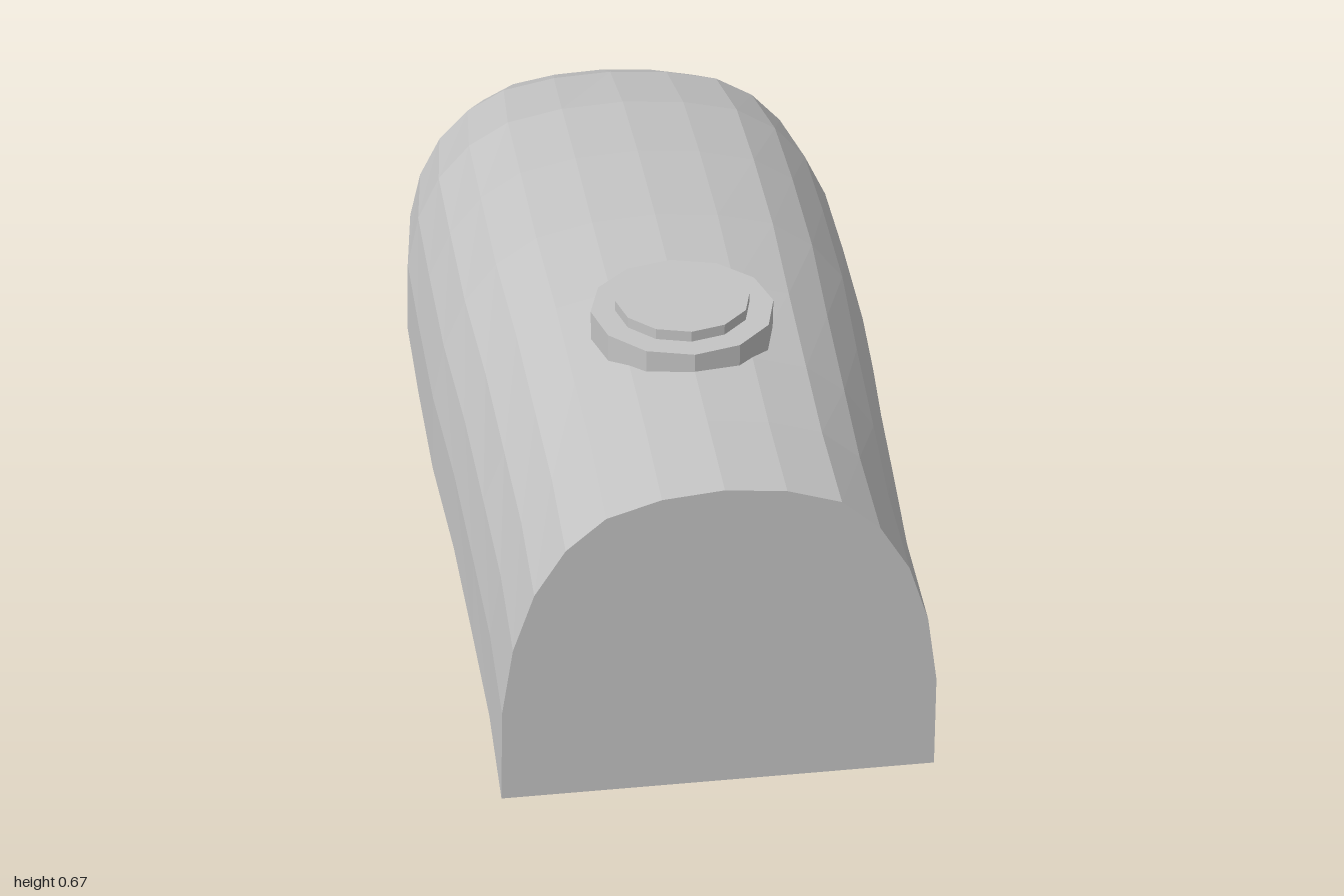
import * as THREE from 'three';

const grey = new THREE.MeshStandardMaterial({ color: 0xc4c4c4, flatShading: true });
grey.name = 'plain grey';

// Half arch from the lower edge to the crown: [share of half width, share of height]
const arch = [[1, 0], [0.983, 0.305], [0.925, 0.52], [0.825, 0.7], [0.685, 0.84], [0.51, 0.935], [0.27, 0.983], [0, 1]];
const section = [...arch, ...arch.slice(0, -1).reverse().map(([x, y]) => [-x, y])];

// Body stations: [z, half width, underside y, crown y]
const stations = [
  [1, 0.378, 0, 0.613], [0.8, 0.384, 0.016, 0.614], [0.6, 0.4, 0.043, 0.616],
  [0.36, 0.419, 0.066, 0.621], [0.1, 0.445, 0.074, 0.621], [-0.18, 0.46, 0.074, 0.611],
  [-0.44, 0.471, 0.074, 0.59], [-0.68, 0.455, 0.075, 0.542], [-0.85, 0.392, 0.09, 0.465],
  [-0.955, 0.295, 0.122, 0.37], [-1, 0.172, 0.178, 0.286],
];

// Arched loft with a flat underside and closed ends
function loftGeometry() {
  const positions = [], index = [];
  const n = section.length;
  for (const [z, w, low, high] of stations)
    for (const [x, y] of section) positions.push(x * w, low + y * (high - low), z);
  for (let i = 0; i < stations.length - 1; i++) {
    for (let j = 0; j < n; j++) {
      const a = i * n + j, b = i * n + (j + 1) % n;
      index.push(a, a + n, b, b, a + n, b + n);
    }
  }
  const last = (stations.length - 1) * n;
  for (let j = 1; j < n - 1; j++) {
    index.push(0, j, j + 1);
    index.push(last, last + j + 1, last + j);
  }
  const indexed = new THREE.BufferGeometry();
  indexed.setAttribute('position', new THREE.Float32BufferAttribute(positions, 3));
  indexed.setIndex(index);
  const geometry = indexed.toNonIndexed();
  geometry.computeVertexNormals();
  return geometry;
}

export function createModel() {
  const model = new THREE.Group();
  model.name = 'model';

  function add(name, geometry, x = 0, y = 0, z = 0) {
    const mesh = new THREE.Mesh(geometry, grey);
    mesh.name = name;
    mesh.position.set(x, y, z);
    model.add(mesh);
  }

  add('body', loftGeometry());

  // Round button on the crown
  add('buttonCollar', new THREE.CylinderGeometry(0.163, 0.163, 0.07, 12), 0, 0.615, 0.485);
  add('buttonCap', new THREE.CylinderGeometry(0.12, 0.12, 0.04, 12), 0, 0.65, 0.485);

  // Cover plate and small catch on the underside
  add('coverPlate', new THREE.BoxGeometry(0.75, 0.06, 0.87), 0, 0.06, -0.315);
  add('catch', new THREE.BoxGeometry(0.2, 0.07, 0.105), 0, 0.075, -0.818);

  return model;
}
